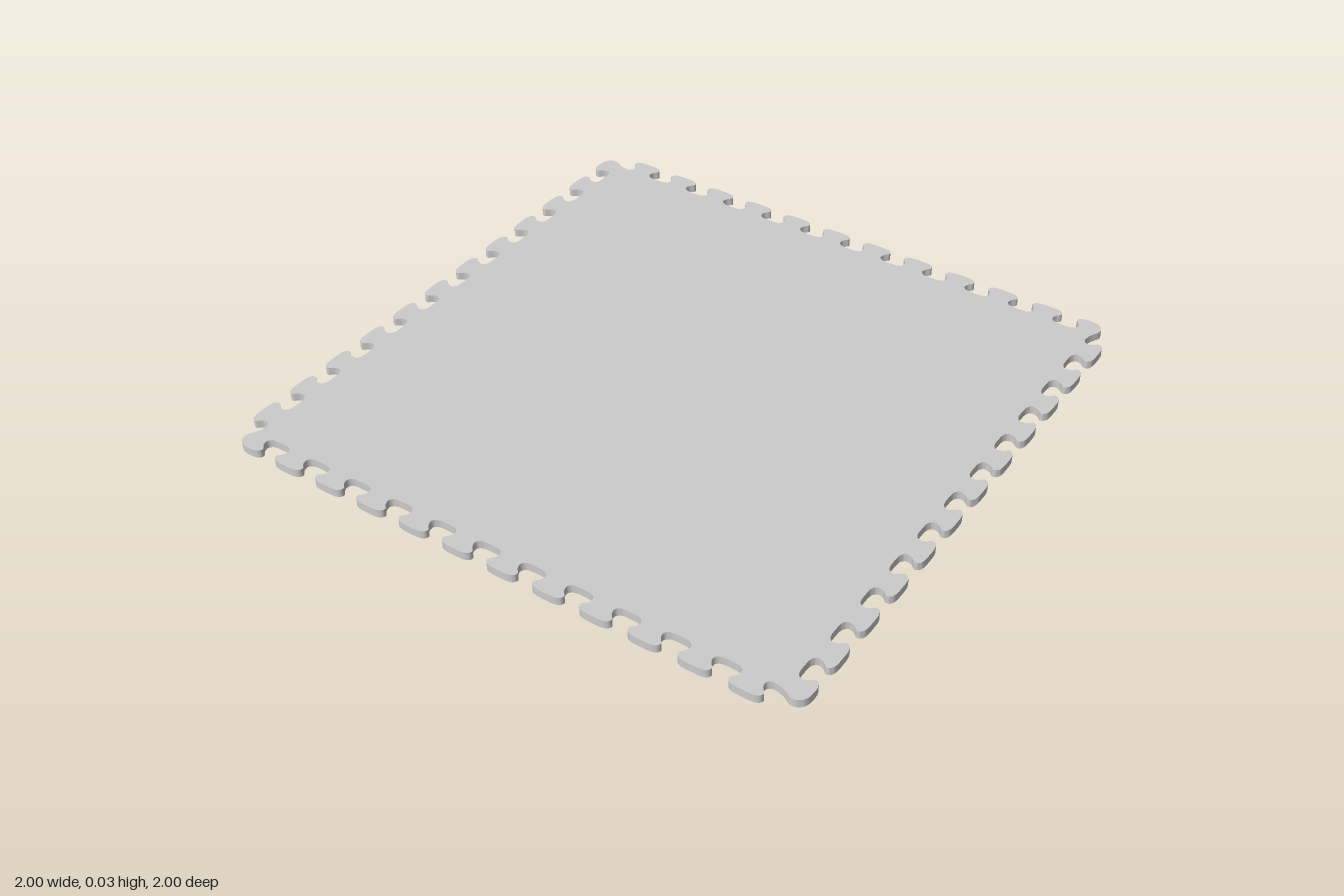
import * as THREE from 'three';
import { toCreasedNormals } from 'three/addons/utils/BufferGeometryUtils.js';

const THICKNESS = 0.027;
const PITCH = 0.16;
const FIRST_TAB = -0.842;
const TABS_PER_SIDE = 11;

// Left half of one dovetail tab: [offset along the edge, distance from centre]
const HALF_TAB = [
  [-0.048, 0.933], [-0.036, 0.945], [-0.04, 0.964], [-0.053, 0.98], [-0.044, 0.995],
];
// Rounded corner that ends each side
const CORNER = [[0.918, 0.999], [0.944, 0.988], [0.955, 0.962], [0.938, 0.927]];

// One side of the mat, drawn along the back edge
function sidePoints() {
  const points = [];
  const addHalf = (centre) => HALF_TAB.forEach(([t, h]) => points.push([centre + t, h]));
  for (let i = 0; i < TABS_PER_SIDE; i++) {
    const centre = FIRST_TAB + i * PITCH;
    addHalf(centre);
    points.push([centre, 1]);
    [...HALF_TAB].reverse().forEach(([t, h]) => points.push([centre - t, h]));
    points.push([centre + PITCH / 2, 0.93]);
  }
  addHalf(FIRST_TAB + TABS_PER_SIDE * PITCH);
  points.push(...CORNER);
  return points;
}

// The four sides are quarter turns of the same profile
function matOutline() {
  const side = sidePoints();
  const outline = [];
  for (let k = 0; k < 4; k++) {
    for (const [t, h] of side) {
      const p = new THREE.Vector2(t, h);
      for (let turn = 0; turn < k; turn++) p.set(p.y, -p.x);
      outline.push(new THREE.Vector3(p.x, p.y, 0));
    }
  }
  const curve = new THREE.CatmullRomCurve3(outline, true, 'centripetal');
  const count = outline.length * 3;
  const smooth = [];
  for (let i = 0; i < count; i++) {
    const p = curve.getPoint(i / count);
    smooth.push(new THREE.Vector2(p.x, p.y));
  }
  return new THREE.Shape(smooth);
}

export function createModel() {
  const model = new THREE.Group();
  model.name = 'interlockingFloorMat';

  // Flat slab with interlocking tabs round the rim
  const slab = new THREE.ExtrudeGeometry(matOutline(), { depth: THICKNESS, bevelEnabled: false });
  slab.rotateX(-Math.PI / 2);
  const mat = new THREE.Mesh(
    toCreasedNormals(slab, Math.PI / 4),
    new THREE.MeshStandardMaterial({ color: 0xcccccc }),
  );
  mat.name = 'matTile';
  model.add(mat);
  return model;
}
